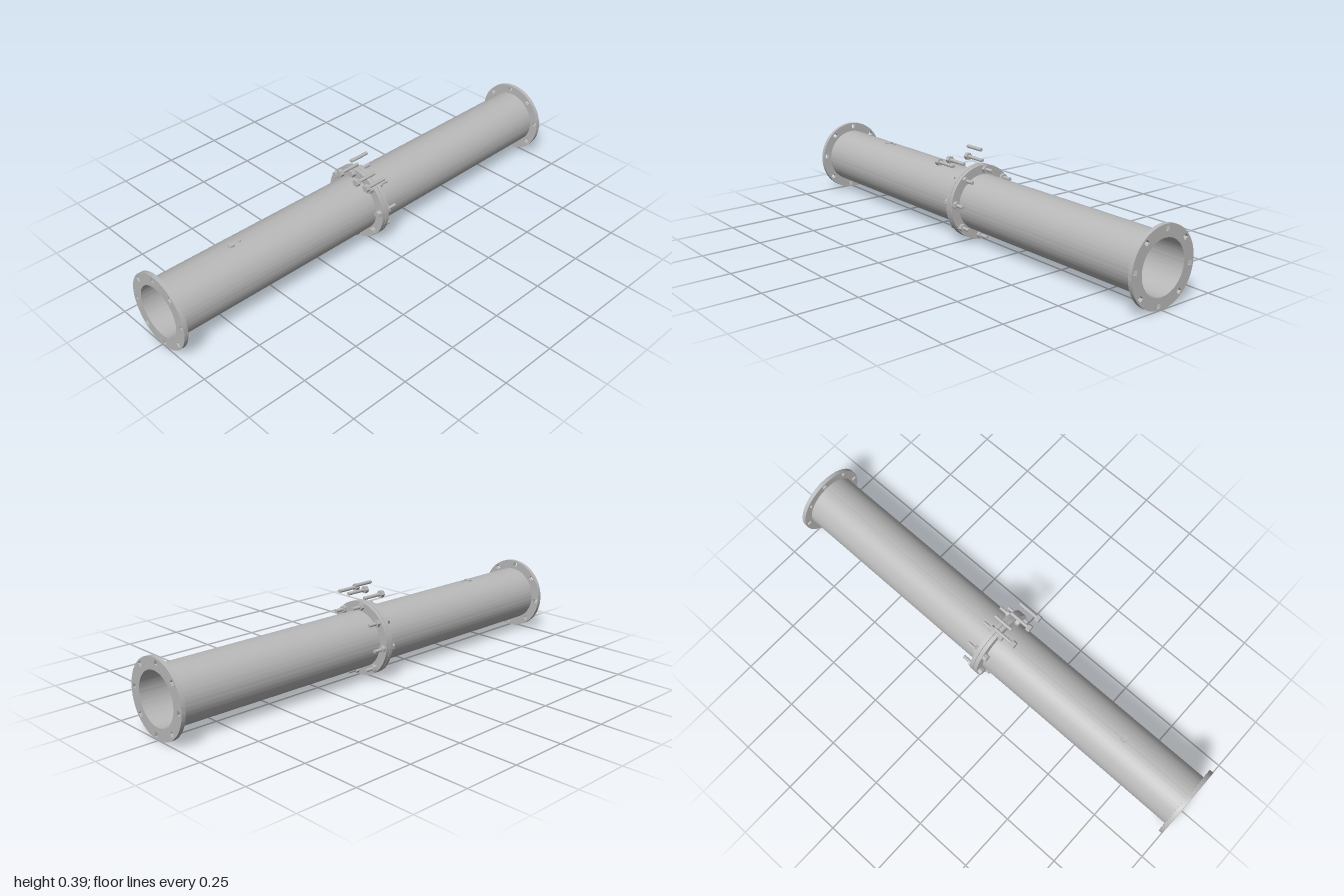
import * as THREE from 'three';
import { toCreasedNormals } from 'three/addons/utils/BufferGeometryUtils.js';

const CENTRE_Y = 0.157;
const BORE = 0.107, PIPE = 0.118, FLANGE = 0.156, BOLT_CIRCLE = 0.139;
const FLANGE_T = 0.017, SHANK = 0.087, HEAD = 0.018;
const boltAngle = (i) => THREE.MathUtils.degToRad(5.5 + 45 * i);

export function createModel() {
  const model = new THREE.Group();
  const steel = new THREE.MeshStandardMaterial({ color: 0xb8b8b8 });

  const add = (parent, name, geometry, x = 0, y = 0, z = 0) => {
    const mesh = new THREE.Mesh(geometry, steel);
    mesh.name = name;
    mesh.position.set(x, y, z);
    parent.add(mesh);
    return mesh;
  };

  // Hollow ring running along +x, optionally with square bolt holes
  const ring = (outer, length, holes) => {
    const shape = new THREE.Shape().absarc(0, 0, outer, 0, Math.PI * 2);
    shape.holes.push(new THREE.Path().absarc(0, 0, BORE, 0, Math.PI * 2, true));
    for (let i = 0; holes && i < 8; i++) {
      const a = boltAngle(i), corners = [];
      for (let k = 0; k < 4; k++) {
        const t = -a + Math.PI / 4 + k * Math.PI / 2;
        corners.push(new THREE.Vector2(
          BOLT_CIRCLE * Math.sin(a) + 0.0125 * Math.cos(t),
          BOLT_CIRCLE * Math.cos(a) + 0.0125 * Math.sin(t)));
      }
      shape.holes.push(new THREE.Path(corners));
    }
    const g = new THREE.ExtrudeGeometry(shape, { depth: length, bevelEnabled: false, curveSegments: 56 });
    return toCreasedNormals(g.rotateY(Math.PI / 2), 0.5);
  };

  // Two pipe lengths, each flanged at both ends
  const pipe = ring(PIPE, 0.998, false);
  const flange = ring(FLANGE, FLANGE_T, true);
  for (const [side, x0, x1] of [['right', -1, -0.001], ['left', 0.001, 1]]) {
    add(model, side + 'Pipe', pipe, side === 'right' ? x0 + 0.0005 : x0 + 0.0005, CENTRE_Y);
    add(model, side + 'StartFlange', flange, x0, CENTRE_Y);
    add(model, side + 'EndFlange', flange, x1 - FLANGE_T, CENTRE_Y);
  }

  // Fasteners lie along +x; a bolt's head starts at its origin
  const rod = new THREE.CylinderGeometry(0.0072, 0.0072, SHANK, 16).rotateZ(-Math.PI / 2);
  const hex = (length) => toCreasedNormals(
    new THREE.CylinderGeometry(0.0155, 0.0155, length, 6).rotateZ(-Math.PI / 2), 0.5);
  const headGeometry = hex(HEAD), nutGeometry = hex(0.014);
  const bolt = (name, x, y, z, turn, withNut) => {
    const group = new THREE.Group();
    group.name = name;
    group.position.set(x, y, z);
    group.rotation.x = turn;
    add(group, 'boltHead', headGeometry, HEAD / 2);
    add(group, 'boltShank', rod, HEAD + SHANK / 2);
    if (withNut) add(group, 'nut', nutGeometry, 0.061);
    model.add(group);
  };

  // Bolts clamping the middle joint
  for (let i = 0; i < 8; i++) {
    const a = boltAngle(i);
    bolt('jointBolt', -0.036, CENTRE_Y + BOLT_CIRCLE * Math.cos(a), -BOLT_CIRCLE * Math.sin(a), -a, true);
  }

  // Loose bolts above the joint, one inside the bore, and a bare rod
  for (const z of [0.136, 0.081, -0.013]) bolt('looseBolt', -0.1, 0.327, z, 0, false);
  bolt('innerBolt', -0.1, CENTRE_Y, 0, Math.PI / 6, false);
  add(model, 'looseRod', rod, -0.014, 0.381, 0.013);

  // Upright hex fitting through the top of the pipe, with a small pin beside it
  add(model, 'hexFitting', toCreasedNormals(
    new THREE.CylinderGeometry(0.0155, 0.0155, 0.046, 6).rotateY(Math.PI / 6), 0.5), -0.66, 0.258, 0);
  add(model, 'pin', new THREE.CylinderGeometry(0.006, 0.006, 0.012, 12), -0.62, 0.273, 0);

  return model;
}
